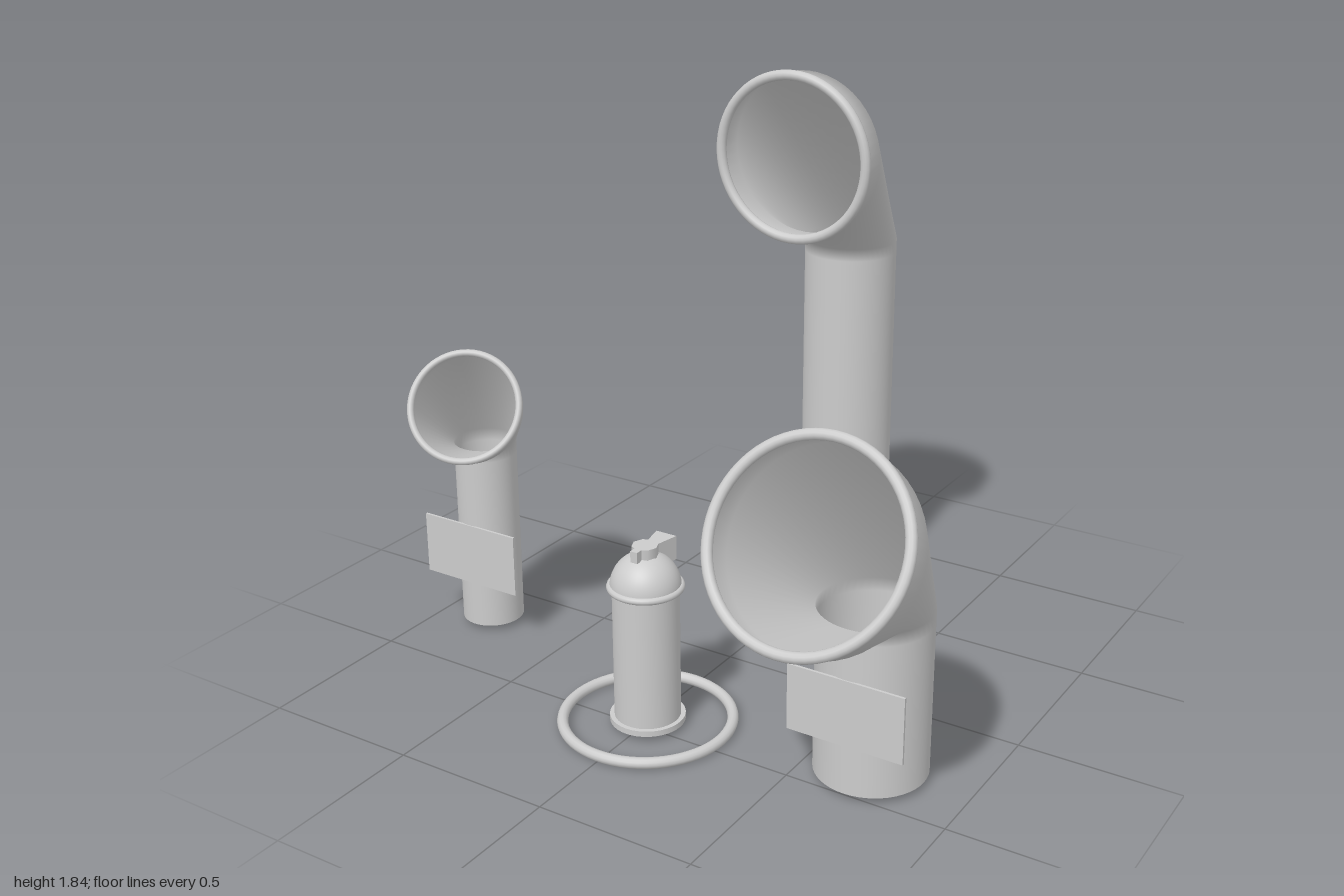
import * as THREE from 'three';

const material = new THREE.MeshStandardMaterial({ color: 0xcccccc, side: THREE.DoubleSide });

function addMesh(parent, name, geometry, x = 0, y = 0, z = 0) {
  const mesh = new THREE.Mesh(geometry, material);
  mesh.name = name;
  mesh.position.set(x, y, z);
  parent.add(mesh);
  return mesh;
}

// Smooth open tube through circles in the YZ plane; pitch is the way each circle faces
// (90 degrees = straight up, 0 = forwards).
function loftGeometry(rings, sides = 48) {
  const positions = [], indices = [];
  rings.forEach(({ y, z, r, pitch }, i) => {
    for (let j = 0; j < sides; j++) {
      const t = (j / sides) * Math.PI * 2;
      const u = r * Math.sin(t);
      positions.push(r * Math.cos(t), y + u * Math.cos(pitch), z - u * Math.sin(pitch));
      if (i === rings.length - 1) continue;
      const a = i * sides + j, b = i * sides + ((j + 1) % sides);
      indices.push(a, b, a + sides, b, b + sides, a + sides);
    }
  });
  const geometry = new THREE.BufferGeometry();
  geometry.setAttribute('position', new THREE.Float32BufferAttribute(positions, 3));
  geometry.setIndex(indices);
  geometry.computeVertexNormals();
  return geometry;
}

// Ventilation cowl: upright pipe, bend, flared hood, rolled rim and sign plate
function createCowl({ name, x, z, radius, elbowY, mouthY, mouthZ, mouthR, tube, pitch, yaw, sleeve }) {
  const cowl = new THREE.Group();
  cowl.name = name;
  cowl.position.set(x, 0, z);

  const turned = new THREE.Group();
  turned.name = 'pipeAndHood';
  turned.rotation.y = yaw;
  cowl.add(turned);

  const up = Math.PI / 2;
  const rings = [
    { y: 0.02, z: 0, r: radius, pitch: up },
    { y: elbowY - 0.04, z: 0, r: radius, pitch: up },
    { y: elbowY, z: 0, r: radius, pitch: up },
    { y: mouthY - sleeve * Math.sin(pitch), z: mouthZ - sleeve * Math.cos(pitch), r: mouthR, pitch },
    { y: mouthY, z: mouthZ, r: mouthR, pitch },
  ];
  addMesh(turned, 'pipe', loftGeometry(rings));
  const rim = addMesh(turned, 'mouthRim', new THREE.TorusGeometry(mouthR, tube, 12, 64), 0, mouthY, mouthZ);
  rim.rotation.x = -pitch;

  addMesh(cowl, 'signPlate', new THREE.BoxGeometry(0.364, 0.205, 0.008), 0, 0.276, radius);
  return cowl;
}

function createHydrant() {
  const hydrant = new THREE.Group();
  hydrant.name = 'hydrant';
  hydrant.position.set(0, 0, 0.468);

  // Ring lying on the ground
  const ring = addMesh(hydrant, 'groundRing', new THREE.TorusGeometry(0.256, 0.017, 12, 64), 0, 0.017, 0);
  ring.rotation.x = Math.PI / 2;

  // Body with a foot and a collar
  addMesh(hydrant, 'body', new THREE.CylinderGeometry(0.1, 0.1, 0.43, 40), 0, 0.235, 0);
  addMesh(hydrant, 'foot', new THREE.CylinderGeometry(0.114, 0.114, 0.018, 40), 0, 0.025, 0);
  const collar = addMesh(hydrant, 'collar', new THREE.TorusGeometry(0.105, 0.011, 10, 48), 0, 0.457, 0);
  collar.rotation.x = Math.PI / 2;
  const dome = new THREE.SphereGeometry(0.106, 40, 16, 0, Math.PI * 2, 0, Math.PI / 2);
  addMesh(hydrant, 'domeCap', dome, 0, 0.457, 0);

  // Nut with a tapered lever running to the back and a nub at the front
  addMesh(hydrant, 'topNut', new THREE.CylinderGeometry(0.04, 0.04, 0.035, 8), 0, 0.57, 0);
  const lever = new THREE.Shape([
    new THREE.Vector2(-0.016, 0.02), new THREE.Vector2(0.016, 0.02),
    new THREE.Vector2(0.035, 0.112), new THREE.Vector2(-0.035, 0.112),
  ]);
  const leverGeometry = new THREE.ExtrudeGeometry(lever, { depth: 0.075, bevelEnabled: false });
  addMesh(hydrant, 'lever', leverGeometry, 0, 0.505, 0).rotation.x = -Math.PI / 2;
  addMesh(hydrant, 'nub', new THREE.BoxGeometry(0.024, 0.035, 0.025), 0, 0.57, 0.045);
  return hydrant;
}

export function createModel() {
  const model = new THREE.Group();
  model.name = 'ventilationCowls';
  const tilt = Math.PI / 6;
  model.add(
    createCowl({
      name: 'tallCowl', x: 0, z: -0.758, radius: 0.152, elbowY: 1.22, mouthY: 1.566, mouthZ: 0.4,
      mouthR: 0.256, tube: 0.016, pitch: 0, yaw: 0, sleeve: 0.094,
    }),
    createCowl({
      name: 'wideCowl', x: 0.696, z: 0.355, radius: 0.168, elbowY: 0.535, mouthY: 0.88, mouthZ: 0.4,
      mouthR: 0.284, tube: 0.016, pitch: tilt, yaw: 0, sleeve: 0.111,
    }),
    createCowl({
      name: 'smallCowl', x: -0.819, z: 0.189, radius: 0.1, elbowY: 0.645, mouthY: 0.847, mouthZ: 0.232,
      mouthR: 0.17, tube: 0.011, pitch: tilt, yaw: 0.455, sleeve: 0.066,
    }),
    createHydrant(),
  );
  return model;
}
